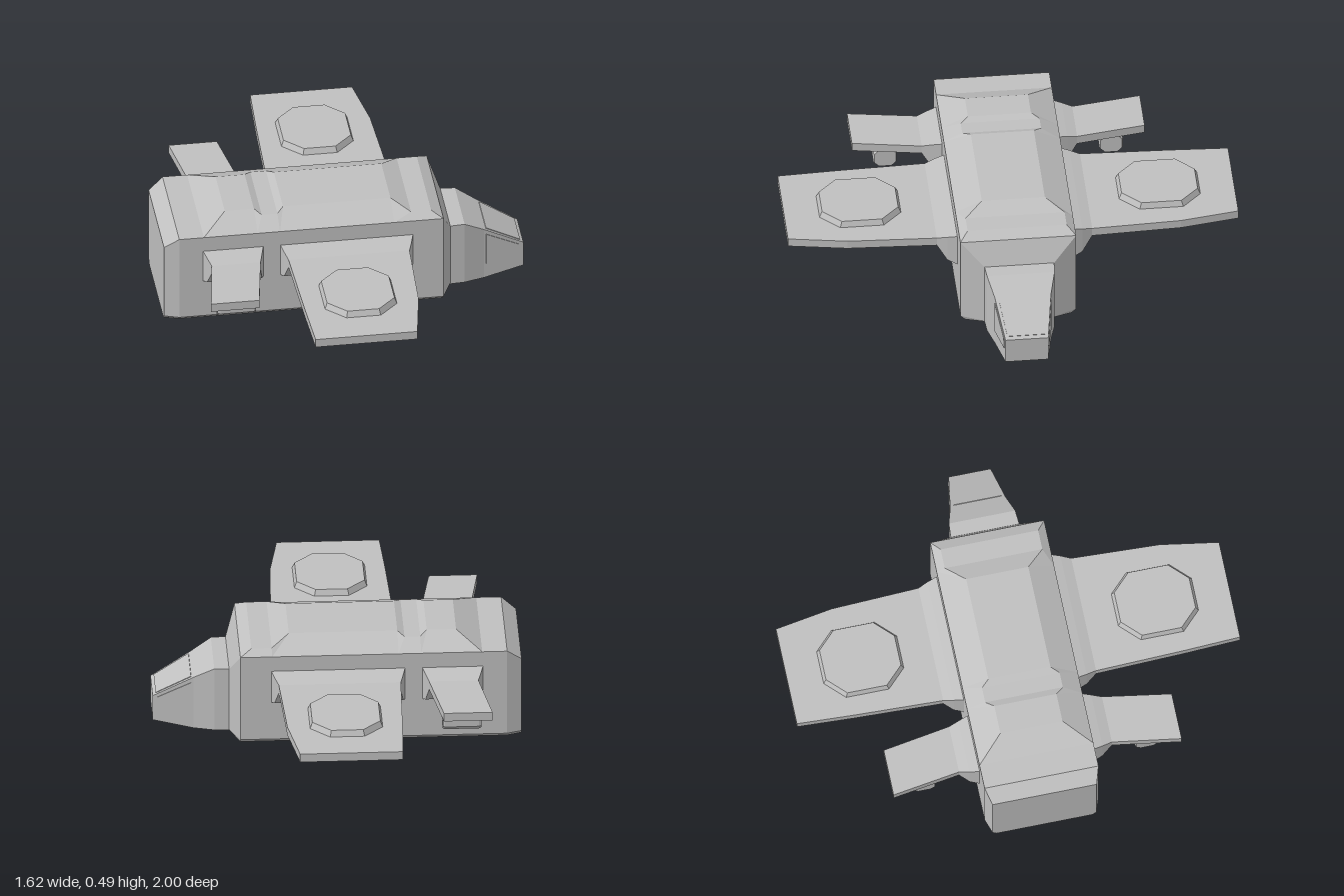
import * as THREE from 'three';

const grey = new THREE.MeshStandardMaterial({ color: 0xc0c0c0 });
grey.name = 'hull grey';

// Solid through a row of convex sections (loops of [x, y, z]), flat shaded.
function loft(name, sections) {
  const tris = [];
  const n = sections[0].length;
  for (let s = 0; s + 1 < sections.length; s++) {
    const a = sections[s], b = sections[s + 1];
    for (let i = 0; i < n; i++) {
      const j = (i + 1) % n;
      tris.push([a[i], a[j], b[j]], [a[i], b[j], b[i]]);
    }
  }
  const first = sections[0], last = sections[sections.length - 1];
  for (let i = 1; i + 1 < n; i++) {
    tris.push([first[0], first[i + 1], first[i]], [last[0], last[i], last[i + 1]]);
  }
  // Turn the faces outward whichever way the sections run
  let volume = 0;
  const va = new THREE.Vector3(), vb = new THREE.Vector3(), vc = new THREE.Vector3();
  for (const [a, b, c] of tris) {
    volume += va.fromArray(a).dot(vb.fromArray(b).cross(vc.fromArray(c)));
  }
  const points = tris.flatMap(([a, b, c]) => (volume < 0 ? [a, c, b] : [a, b, c])).flat();
  const geometry = new THREE.BufferGeometry();
  geometry.setAttribute('position', new THREE.Float32BufferAttribute(points, 3));
  geometry.computeVertexNormals();
  const mesh = new THREE.Mesh(geometry, grey);
  mesh.name = name;
  return mesh;
}

// Thin plate lying on a surface
function plate(name, corners, offset) {
  const shift = (k) => corners.map((p) => p.map((v, i) => v + offset[i] * k));
  return loft(name, [shift(-1), shift(1)]);
}

// Rectangle in x and y at a given z
const wingSection = (z, x0, x1, y0, y1) => [[x0, y0, z], [x1, y0, z], [x1, y1, z], [x0, y1, z]];

// Octagon with cut corners at a given height
function octagon(y, x0, x1, z0, z1, cut, side) {
  return [
    [x0 + cut, z0], [x1 - cut, z0], [x1, z0 + cut], [x1, z1 - cut],
    [x1 - cut, z1], [x0 + cut, z1], [x0, z1 - cut], [x0, z0 + cut],
  ].map(([x, z]) => [x, y, z * side]);
}

export function createModel() {
  const model = new THREE.Group();
  model.name = 'shuttle';

  // Main hull: [x, bottom half width, bottom, chamfer height, half width, top]
  model.add(loft('hull', [
    [-0.815, 0.215, 0, 0.02, 0.235, 0.38],
    [-0.75, 0.237, 0, 0.02, 0.257, 0.43],
    [0.43, 0.237, 0, 0.02, 0.257, 0.43],
    [0.475, 0.15, 0.015, 0.02, 0.155, 0.32],
  ].map(([x, wb, yb, yc, w, yt]) => [
    [x, yb, wb], [x, yc, w], [x, yt, w], [x, yt, -w], [x, yc, -w], [x, yb, -wb],
  ])));

  // Raised roof: [x, top half width, top]
  model.add(loft('roof', [
    [-0.64, 0.257, 0.43], [-0.53, 0.14, 0.485], [-0.4, 0.14, 0.485], [-0.37, 0.175, 0.472],
    [-0.3, 0.175, 0.472], [-0.27, 0.14, 0.485], [0.21, 0.14, 0.485], [0.29, 0.22, 0.455],
    [0.38, 0.22, 0.455], [0.43, 0.257, 0.43],
  ].map(([x, w, y]) => [[x, 0.43, 0.257], [x, y, w], [x, y, -w], [x, 0.43, -0.257]])));

  // Cockpit nose: [x, half width, bottom, top]
  model.add(loft('nose', [
    [0.47, 0.155, 0.015, 0.32], [0.54, 0.15, 0.015, 0.32],
    [0.63, 0.125, 0.015, 0.268], [0.81, 0.095, 0.045, 0.165],
  ].map(([x, w, y0, y1]) => [[x, y0, w], [x, y1, w], [x, y1, -w], [x, y0, -w]])));

  // Cockpit windows
  const slopeY = (x) => 0.268 - (x - 0.63) * 0.572;
  const sideZ = (x) => 0.125 - (x - 0.63) / 6;
  model.add(plate('frontWindow', [
    [0.64, slopeY(0.64), 0.108], [0.795, slopeY(0.795), 0.085],
    [0.795, slopeY(0.795), -0.085], [0.64, slopeY(0.64), -0.108],
  ], [0.0015, 0.0026, 0]));

  for (const side of [1, -1]) {
    const word = side > 0 ? 'Right' : 'Left';
    const mirror = (sections) => sections.map((s) => s.map(([x, y, z]) => [x, y, z * side]));

    const corners = [[0.64, 0.242], [0.79, 0.16], [0.795, 0.11], [0.64, 0.088]]
      .map(([x, y]) => [x, y, sideZ(x) * side]);
    model.add(plate('sideWindow' + word, corners, [0.0005, 0, 0.003 * side]));

    // Main wing with flared root
    model.add(loft('mainWing' + word, mirror([
      wingSection(0.25, -0.3, 0.295, 0.2, 0.36),
      wingSection(0.3, -0.288, 0.281, 0.222, 0.348),
      wingSection(0.345, -0.275, 0.265, 0.295, 0.335),
      wingSection(0.74, -0.262, 0.248, 0.295, 0.335),
      wingSection(1, -0.25, 0.205, 0.295, 0.335),
    ])));

    // Octagonal pad on the wing
    model.add(loft('wingPad' + word, [
      octagon(0.33, -0.175, 0.15, 0.482, 0.848, 0.085, side),
      octagon(0.362, -0.163, 0.138, 0.496, 0.834, 0.08, side),
    ]));

    // Swept rear wing
    model.add(loft('rearWing' + word, mirror([
      wingSection(0.25, -0.645, -0.373, 0.2, 0.36),
      wingSection(0.3, -0.632, -0.387, 0.222, 0.348),
      wingSection(0.345, -0.618, -0.4, 0.295, 0.335),
      wingSection(0.65, -0.665, -0.45, 0.295, 0.335),
    ])));

    // Thruster pod hanging below the rear wing
    const podSection = (x, k) => [
      [0.03, -0.052], [0.052, -0.03], [0.052, 0.02], [0.035, 0.04],
      [-0.035, 0.04], [-0.052, 0.02], [-0.052, -0.03], [-0.03, -0.052],
    ].map(([z, y]) => [x, 0.246 + y * k, (0.502 + z * k) * side]);
    model.add(loft('thrusterPod' + word, [
      podSection(-0.622, 0.92), podSection(-0.61, 1), podSection(-0.46, 1), podSection(-0.45, 0.92),
    ]));
    const pylon = new THREE.Mesh(new THREE.BoxGeometry(0.15, 0.06, 0.065), grey);
    pylon.name = 'thrusterPylon' + word;
    pylon.position.set(-0.535, 0.27, 0.502 * side);
    model.add(pylon);
  }
  return model;
}
